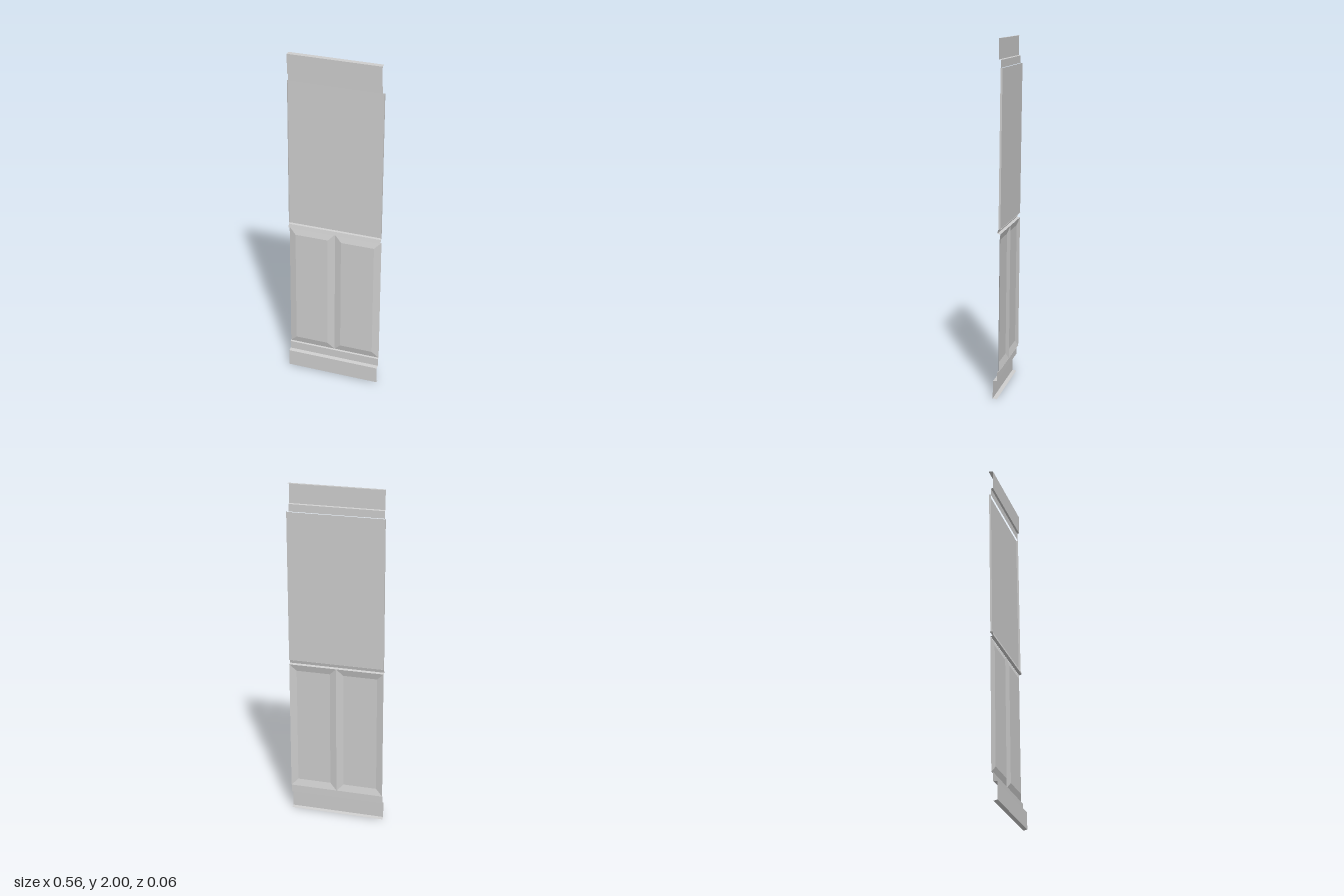
import * as THREE from 'three';

const material = new THREE.MeshStandardMaterial({
  color: 0xcccccc, flatShading: true, side: THREE.DoubleSide,
});

// Mesh from four-cornered faces, corners counter-clockwise seen from outside
function quadMesh(name, quads) {
  const pos = [];
  for (const [a, b, c, d] of quads) pos.push(...a, ...b, ...c, ...a, ...c, ...d);
  const geo = new THREE.BufferGeometry();
  geo.setAttribute('position', new THREE.Float32BufferAttribute(pos, 3));
  geo.computeVertexNormals();
  const mesh = new THREE.Mesh(geo, material);
  mesh.name = name;
  return mesh;
}

// Open moulding: a [y, z] profile, top to bottom, swept from x0 to x1
function moulding(name, profile, x0, x1) {
  const quads = [];
  for (let i = 0; i < profile.length - 1; i++) {
    const [yt, zt] = profile[i];
    const [yb, zb] = profile[i + 1];
    quads.push([[x0, yb, zb], [x1, yb, zb], [x1, yt, zt], [x0, yt, zt]]);
  }
  return quadMesh(name, quads);
}

// The wall leans back slightly towards the top
const wallZ = (y) => -0.003 - 0.0125 * y;

// Raised panel: a flat field inside four sloping borders
function raisedPanel(name, x0, x1, y0, y1, border, depth) {
  const ring = (inset, lift) => [[x0, y0, 1, 1], [x1, y0, -1, 1], [x1, y1, -1, -1], [x0, y1, 1, -1]]
    .map(([x, y, sx, sy]) => [x + sx * inset, y + sy * inset, wallZ(y + sy * inset) + lift]);
  const outer = ring(0, 0);
  const inner = ring(border, depth);
  const quads = [inner];
  for (let i = 0; i < 4; i++) {
    const j = (i + 1) % 4;
    quads.push([outer[i], outer[j], inner[j], inner[i]]);
  }
  return quadMesh(name, quads);
}

export function createModel() {
  const group = new THREE.Group();
  group.name = 'wallPanel';
  const w = 0.278;

  // Plain upper sheet with narrow folded side edges
  const y0 = 0.965, y1 = 1.84, fold = 0.011;
  const z0 = wallZ(y0), z1 = wallZ(y1) - 0.002;
  const upper = [[[-w, y0, z0], [w, y0, z0], [w, y1, z1], [-w, y1, z1]]];
  for (const x of [-w, w]) {
    upper.push([[x, y0, z0 + fold], [x, y0, z0], [x, y1, z1], [x, y1, z1 + fold]]);
  }
  group.add(quadMesh('upperPanel', upper));

  // Two raised panels side by side
  group.add(raisedPanel('lowerRightPanel', -w, 0, 0.158, 0.937, 0.04, 0.012));
  group.add(raisedPanel('lowerLeftPanel', 0, w, 0.158, 0.937, 0.04, 0.012));

  // Mouldings across the top, middle and foot
  group.add(moulding('cornice',
    [[2, -0.033], [1.998, -0.007], [1.885, -0.007], [1.882, -0.018], [1.84, -0.018]], -0.273, 0.267));
  group.add(moulding('chairRail',
    [[0.967, -0.02], [0.962, -0.003], [0.941, 0.003], [0.936, -0.013]], -w, w));
  group.add(moulding('skirting',
    [[0.159, -0.006], [0.155, 0.005], [0.107, 0.005], [0.103, 0.029], [0.004, 0.03], [0, 0.007]], -w, w));

  return group;
}
